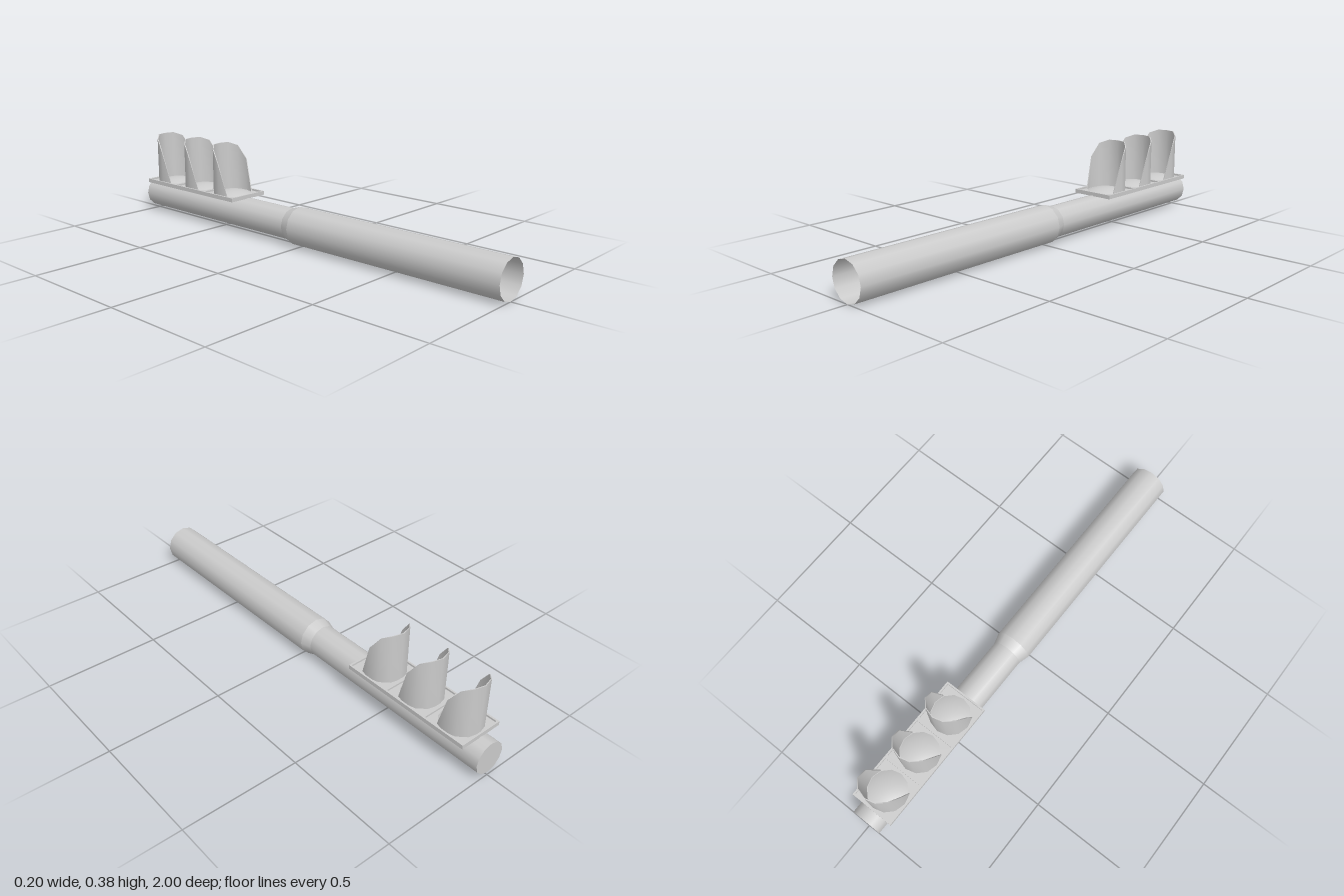
import * as THREE from 'three';

const material = new THREE.MeshStandardMaterial({ color: 0xcccccc, side: THREE.DoubleSide });
const AXIS_Y = 0.085, FLOOR_Y = 0.162, RIM_Y = 0.17;

function add(parent, geometry, name, x = 0, y = 0, z = 0) {
  const mesh = new THREE.Mesh(geometry, material);
  mesh.name = name;
  mesh.position.set(x, y, z);
  parent.add(mesh);
  return mesh;
}

// Twelve-sided open tube lying along z
function tube(parent, name, rFront, rBack, zFront, zBack) {
  const g = new THREE.CylinderGeometry(rFront, rBack, zFront - zBack, 12, 1, true);
  g.rotateX(Math.PI / 2);
  add(parent, g, name, 0, AXIS_Y, (zFront + zBack) / 2);
}

// Hood: two curved walls whose top edge slopes down to the open front
function visorGeometry() {
  const heights = [FLOOR_Y + 0.001, 0.31, 0.37, 0.385, 0.385, 0.385, 0.37, 0.31, FLOOR_Y + 0.001];
  const outer = 0.09, inner = 0.086;
  const pos = [], index = [];
  // Each strip joins two edges, given as [radius, follows the top edge]
  const strips = [
    [[outer, false], [outer, true]],
    [[inner, true], [inner, false]],
    [[outer, true], [inner, true]],
  ];
  for (const strip of strips) {
    const base = pos.length / 3;
    heights.forEach((h, i) => {
      const a = (-30 + i * 30) * Math.PI / 180;
      for (const [r, top] of strip) pos.push(r * Math.cos(a), top ? h : FLOOR_Y, -r * Math.sin(a));
    });
    for (let i = 0; i < heights.length - 1; i++) {
      const k = base + i * 2;
      index.push(k, k + 2, k + 1, k + 1, k + 2, k + 3);
    }
  }
  const g = new THREE.BufferGeometry();
  g.setAttribute('position', new THREE.Float32BufferAttribute(pos, 3));
  g.setIndex(index);
  g.computeVertexNormals();
  return g;
}

// Shallow domed lens
function lensGeometry() {
  const a = 0.084, h = 0.017, R = (a * a + h * h) / (2 * h);
  const g = new THREE.SphereGeometry(R, 12, 5, 0, Math.PI * 2, 0, Math.asin(a / R));
  return g.translate(0, FLOOR_Y + h - R, 0);
}

// Square raised rim around the recessed plate
function rimGeometry() {
  const square = (path, s) => {
    path.moveTo(-s, -s); path.lineTo(s, -s); path.lineTo(s, s); path.lineTo(-s, s); path.closePath();
    return path;
  };
  const shape = square(new THREE.Shape(), 0.1);
  shape.holes.push(square(new THREE.Path(), 0.092));
  const g = new THREE.ExtrudeGeometry(shape, { depth: RIM_Y - FLOOR_Y, bevelEnabled: false });
  return g.rotateX(-Math.PI / 2);
}

export function createModel() {
  const model = new THREE.Group();
  model.name = 'signalOnPole';

  // Pole: wide open sleeve, short taper, narrow shaft closed at the back
  const pole = new THREE.Group();
  pole.name = 'pole';
  model.add(pole);
  tube(pole, 'wideSleeve', 0.084, 0.084, 1, -0.03);
  tube(pole, 'taper', 0.084, 0.07, -0.03, -0.075);
  tube(pole, 'narrowShaft', 0.07, 0.07, -0.075, -1);
  const cap = add(pole, new THREE.CircleGeometry(0.07, 12), 'endCap', 0, AXIS_Y, -1);
  cap.rotation.y = Math.PI;

  // Three identical lamp units
  const plate = new THREE.BoxGeometry(0.2, FLOOR_Y - 0.152, 0.2);
  const rim = rimGeometry(), lens = lensGeometry(), visor = visorGeometry();
  for (let i = 0; i < 3; i++) {
    const lamp = new THREE.Group();
    lamp.name = 'lamp' + (i + 1);
    lamp.position.z = -0.45 - i * 0.2;
    add(lamp, plate, 'backPlate', 0, (FLOOR_Y + 0.152) / 2);
    add(lamp, rim, 'plateRim', 0, FLOOR_Y);
    add(lamp, lens, 'lens');
    add(lamp, visor, 'visor');
    model.add(lamp);
  }
  return model;
}
